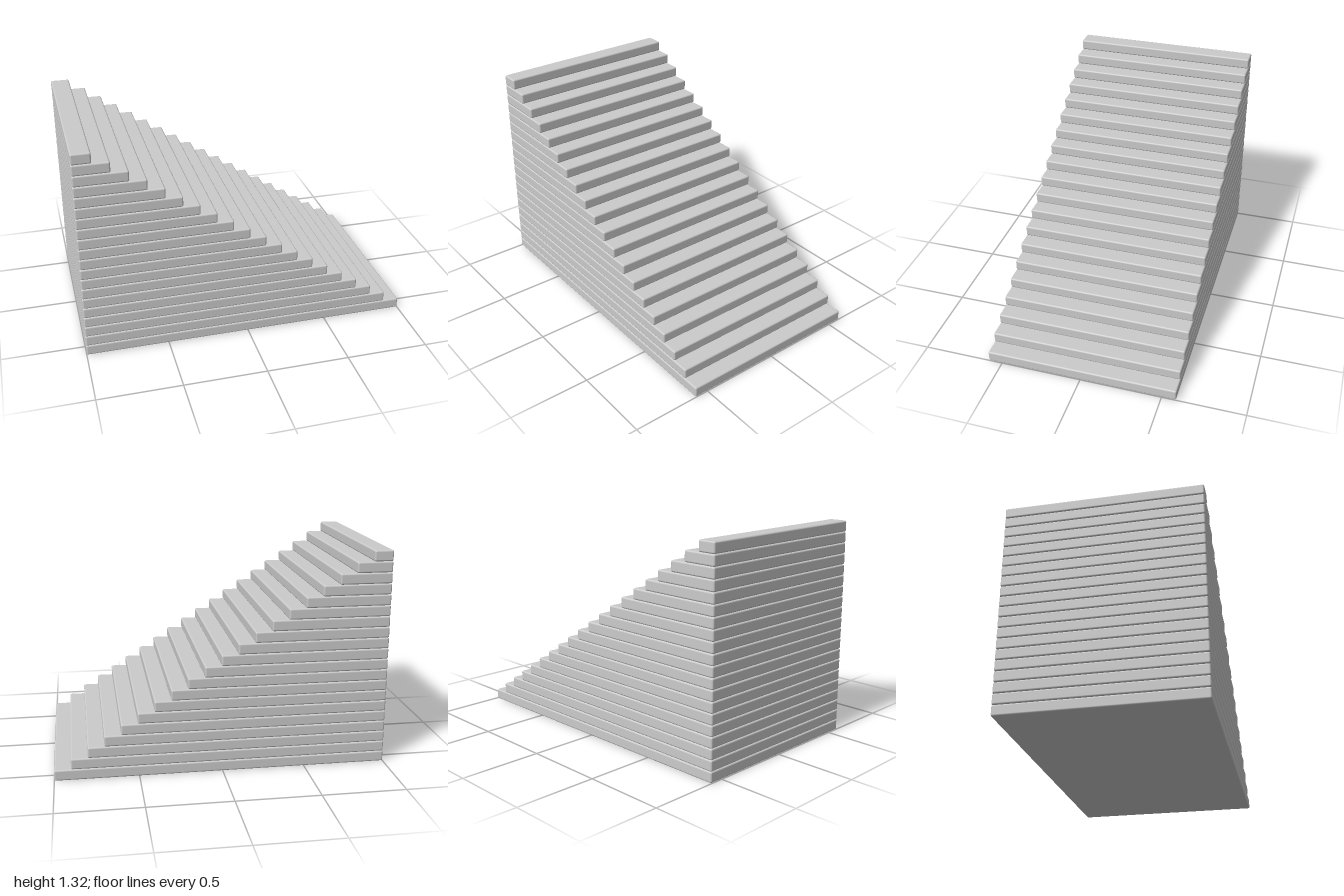
import * as THREE from 'three';
import { RoundedBoxGeometry } from 'three/addons/geometries/RoundedBoxGeometry.js';

const STEPS = 20;
const HEIGHT = 1.315; // total rise
const DEPTH = 1.174; // width of the stair along z
const LONGEST = 2; // bottom slab
const SHORTEST = 0.114; // top slab
const BEVEL = 0.01;

export function createModel() {
  const group = new THREE.Group();
  group.name = 'staircase';
  const material = new THREE.MeshStandardMaterial({ color: 0xcccccc });
  const rise = HEIGHT / STEPS;

  // Stacked slabs, flush at the tall end and shortening upwards
  for (let i = 0; i < STEPS; i++) {
    const length = THREE.MathUtils.lerp(LONGEST, SHORTEST, i / (STEPS - 1));
    const slab = new THREE.Mesh(new RoundedBoxGeometry(length, rise, DEPTH, 2, BEVEL), material);
    slab.name = `step${i + 1}`;
    slab.position.set(-1 + length / 2, (i + 0.5) * rise, 0);
    group.add(slab);
  }
  return group;
}
